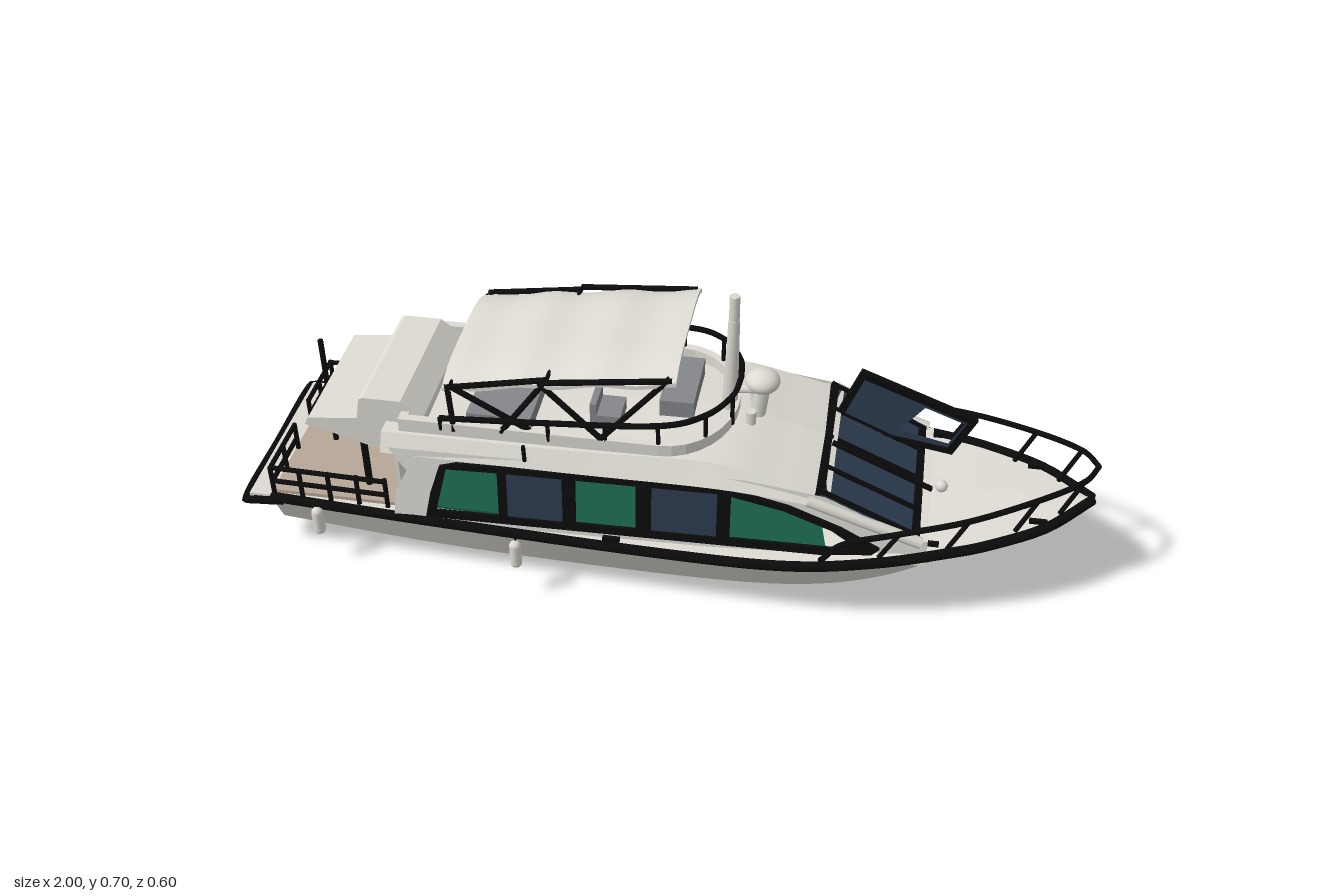
import * as THREE from 'three';

const mat = (name, color, side = THREE.DoubleSide) => {
  const m = new THREE.MeshStandardMaterial({ color, side });
  m.name = name;
  return m;
};

export function createModel() {
  const white = mat('gelcoatWhite', 0xdcdad2), black = mat('trimBlack', 0x0b0b0c);
  const navy = mat('glassNavy', 0x2c3b50, THREE.FrontSide), green = mat('bottomGreen', 0x175a46);
  const tan = mat('deckTan', 0xb8a798), grey = mat('seatGrey', 0x85868a);
  const model = new THREE.Group();
  model.name = 'motorYacht';

  // ---- helpers ----
  const V = (x, y, z) => new THREE.Vector3(x, y, z);
  const add = (name, geo, material, parent = model) => {
    const m = new THREE.Mesh(geo, material);
    m.name = name;
    parent.add(m);
    return m;
  };
  const both = (name, build) => {
    for (const s of [1, -1]) {
      const g = new THREE.Group();
      g.name = name + (s > 0 ? 'Left' : 'Right');
      g.scale.z = s;
      build(g);
      model.add(g);
    }
  };
  const box = (name, x0, x1, y0, y1, z0, z1, m, parent) =>
    add(name, new THREE.BoxGeometry(x1 - x0, y1 - y0, z1 - z0)
      .translate((x0 + x1) / 2, (y0 + y1) / 2, (z0 + z1) / 2), m, parent);
  const rod = (name, a, b, r, m, parent, r2 = r) => {
    const d = b.clone().sub(a);
    const mesh = add(name, new THREE.CylinderGeometry(r2, r, d.length(), 8), m, parent);
    mesh.position.copy(a).addScaledVector(d, 0.5);
    mesh.quaternion.setFromUnitVectors(V(0, 1, 0), d.normalize());
    return mesh;
  };
  const spline = pts => new THREE.CatmullRomCurve3(pts.map(p => V(...p)), false, 'catmullrom', 0.5);
  const pipe = (name, pts, r, m, parent) =>
    add(name, new THREE.TubeGeometry(spline(pts), 48, r, 6), m, parent);
  // surface stretched between two curves
  const ruled = (name, a, b, m, parent, n = 48) => {
    const pos = [], idx = [];
    for (let i = 0; i <= n; i++) {
      pos.push(...a.getPoint(i / n).toArray(), ...b.getPoint(i / n).toArray());
      if (i < n) idx.push(2 * i, 2 * i + 1, 2 * i + 2, 2 * i + 1, 2 * i + 3, 2 * i + 2);
    }
    const g = new THREE.BufferGeometry();
    g.setAttribute('position', new THREE.Float32BufferAttribute(pos, 3));
    g.setIndex(idx);
    g.computeVertexNormals();
    return add(name, g, m, parent);
  };
  const shape = (pts, holes = []) => {
    const s = new THREE.Shape(pts.map(p => new THREE.Vector2(...p)));
    s.holes = holes.map(h => new THREE.Path(h.map(p => new THREE.Vector2(...p))));
    return s;
  };
  const extrude = (s, depth) => new THREE.ExtrudeGeometry(s, { depth, bevelEnabled: false });

  // ---- hull: x, sheer width, sheer y, chine width, chine y, keel y ----
  const st = [[-.93, .225, .155, .18, .065, .05], [-.5, .25, .155, .205, .052, .035], [0, .27, .155, .212, .045, .012],
    [.3, .277, .165, .2, .045, 0], [.5, .257, .185, .16, .058, .01], [.67, .21, .2, .08, .08, .022],
    [.76, .175, .207, .004, .092, .088], [.88, .108, .216, .002, .158, .156], [.985, .004, .225, .002, .218, .216]];
  const sheer = spline(st.map(s => [s[0], s[2], s[1]]));
  const chine = spline(st.map(s => [s[0], s[4], s[3]]));
  const keel = spline(st.map(s => [s[0], s[5], 0]));
  const deckEdge = spline(st.map(s => [s[0], s[2] + .008, s[1]]));
  const deckMid = spline(st.map(s => [s[0], s[2] + .014, 0]));
  both('hull', g => {
    ruled('topside', sheer, chine, white, g);
    ruled('bottom', chine, keel, green, g);
    ruled('deck', deckMid, deckEdge, white, g);
    add('rubRail', new THREE.TubeGeometry(deckEdge, 64, .012, 8), black, g);
  });
  const transom = add('transom', new THREE.ShapeGeometry(shape(
    [[-.225, .16], [-.18, .065], [0, .05], [.18, .065], [.225, .16]])), white);
  transom.rotation.y = -Math.PI / 2;
  transom.position.x = -.93;
  box('swimPlatform', -.985, -.92, .148, .168, -.225, .225, white);
  pipe('platformRim', [[-.9, .16, -.232], [-.97, .155, -.232], [-.997, .152, -.215], [-.997, .152, 0],
    [-.997, .152, .215], [-.97, .155, .232], [-.9, .16, .232]], .01, black);
  box('rudder', -.9, -.84, .028, .09, -.008, .008, green);
  box('aftDeck', -.93, -.62, .165, .174, -.21, .21, tan);

  // ---- cabin sides ----
  const lean = (geo, off = 0) => {
    const p = geo.attributes.position;
    for (let i = 0; i < p.count; i++)
      p.setZ(i, p.getZ(i) + off + .235 - .08 * (p.getY(i) - .17) - .02 * p.getX(i));
    geo.computeVertexNormals();
    return geo;
  };
  const opening = [[-.54, .18], [-.525, .25], [-.5, .325], [-.46, .337], [.16, .337], [.3, .305], [.42, .258], [.51, .21], [.48, .18]];
  const outer = [[-.62, .16], [-.61, .24], [-.58, .3], [-.62, .36], [.2, .36], [.38, .335], [.6, .235], [.62, .17]];
  const panes = [
    [[-.515, .2], [-.485, .32], [-.365, .322], [-.365, .2]],
    [[-.345, .2], [-.345, .322], [-.215, .322], [-.215, .2]],
    [[-.185, .2], [-.185, .322], [-.045, .322], [-.045, .2]],
    [[-.01, .2], [-.01, .322], [.14, .322], [.14, .2]],
    [[.17, .2], [.17, .318], [.29, .292], [.4, .25], [.45, .215], [.43, .2]]];
  const port = [[-.46, .222], [-.46, .268], [-.38, .268], [-.38, .222]];
  both('cabinSide', g => {
    add('wall', lean(new THREE.ShapeGeometry(shape(outer, [opening]))), white, g);
    add('windowFrame', lean(extrude(shape(opening, panes), .008)), black, g);
    for (const i of [1, 3]) add('sidePane', lean(extrude(shape(panes[i]), .004)), navy, g);
    // inward-facing glass leaves the saloon visible from outside
    for (const i of [0, 2]) {
      const geo = lean(new THREE.ShapeGeometry(shape(panes[i], i ? [] : [port])));
      geo.setIndex([...geo.index.array].reverse());
      geo.computeVertexNormals();
      add('innerPane', geo, navy, g);
    }
    rod('windshieldPillar', V(.34, .322, .216), V(.6, .23, .214), .014, white, g);
  });
  box('saloonSole', -.6, .56, .176, .182, -.215, .215, green);
  box('aftBulkhead', -.615, -.605, .17, .35, -.215, .215, white);
  box('aftDoor', -.62, -.616, .18, .32, -.1, .1, navy);
  box('windshieldBase', .565, .615, .18, .232, -.21, .21, white);

  // ---- roof: x, eave y, eave width, shoulder y, shoulder width, centre y ----
  const rf = [[-.64, .342, .232, .385, .208, .39], [-.2, .342, .235, .388, .21, .394], [.12, .34, .232, .388, .2, .4],
    [.28, .325, .228, .354, .205, .368], [.39, .308, .222, .328, .205, .335]];
  const eave = spline(rf.map(r => [r[0], r[1], r[2]])), shoulder = spline(rf.map(r => [r[0], r[3], r[4]]));
  const crown = spline(rf.map(r => [r[0], r[5], 0])), ceiling = spline(rf.map(r => [r[0], r[1], 0]));
  both('roof', g => {
    ruled('roofSide', shoulder, eave, white, g);
    ruled('roofTop', crown, shoulder, white, g);
    ruled('ceiling', eave, ceiling, white, g);
  });

  // ---- windshield ----
  const shield = new THREE.Group();
  shield.name = 'windshield';
  shield.position.set(.475, .285, 0);
  shield.rotation.z = Math.atan2(-.1, .22);
  model.add(shield);
  box('glass', -.12, .12, -.003, .003, -.208, .208, navy, shield);
  for (const z of [-.2, -.11, 0, .11, .2]) box('mullion', -.122, .122, -.006, .009, z - .006, z + .006, black, shield);
  for (const x of [-.12, .12]) box('shieldEdge', x - .009, x + .009, -.006, .009, -.208, .208, black, shield);
  box('wiper', -.11, .15, .01, .018, .022, .034, black, shield);
  // upright glazed panel with an open corner
  const panel = [[.365, .29], [.43, .455], [.71, .345], [.66, .24]];
  const inner = [[.385, .298], [.438, .435], [.688, .337], [.648, .256]];
  const gap = [[.53, .295], [.585, .367], [.68, .33], [.648, .268]];
  add('panelFrame', extrude(shape(panel, [inner]), .018).translate(0, 0, -.12), black);
  add('panelGlass', extrude(shape(inner, [gap]), .005).translate(0, 0, -.113), navy);

  // ---- flybridge ----
  const ring = (w, x0, x1) => {
    const p = [[x0, -w]];
    for (let i = 0; i <= 16; i++) {
      const a = -Math.PI / 2 + Math.PI * i / 16;
      p.push([x1 + .16 * (w / .2) * Math.cos(a), w * Math.sin(a)]);
    }
    return [...p, [x0, w]];
  };
  add('coaming', extrude(shape(ring(.2, -.6, 0), [ring(.18, -.58, 0)]), .045)
    .rotateX(-Math.PI / 2).translate(0, .375, 0), white);
  const aft = [[-.84, .352], [-.83, .372], [-.71, .385], [-.7, .44], [-.69, .446], [-.6, .446], [-.55, .405], [-.54, .34], [-.6, .3], [-.68, .305], [-.76, .33]];
  add('aftOverhang', extrude(shape(aft), .34).translate(0, 0, -.17), white);
  box('helmConsole', -.02, .06, .39, .44, -.12, .06, grey);
  box('bench', -.45, -.3, .39, .425, -.16, .16, grey);
  for (const z of [-.08, .08]) {
    box('helmSeat', -.16, -.1, .39, .425, z - .04, z + .04, grey);
    box('helmSeatBack', -.17, -.155, .39, .455, z - .04, z + .04, grey);
  }

  // ---- flybridge rail ----
  const railPts = [[-.5, .435, .2], [-.25, .452, .2], [0, .472, .195], [.1, .48, .15], [.15, .482, .07], [.16, .483, 0]];
  both('flybridgeRail', g => {
    pipe('topRail', railPts, .007, black, g);
    for (const p of [...railPts.slice(0, 5), [-.12, .46, .198]]) rod('stanchion', V(p[0], .4, p[2] * .98), V(...p), .005, black, g);
  });

  // ---- canopy: bowed cloth with rising profile ----
  const cloth = new THREE.BoxGeometry(.53, .01, .38, 24, 1, 16), cp = cloth.attributes.position;
  for (let i = 0; i < cp.count; i++) {
    const x = cp.getX(i) - .225, u = (x + .49) / .53, w = Math.abs(cp.getZ(i)) / .19;
    cp.setXYZ(i, x, cp.getY(i) + .538 + .075 * Math.pow(u, .8) - .008 * Math.sin(u * Math.PI * 3) ** 2 - .028 * w ** 4, cp.getZ(i));
  }
  cloth.computeVertexNormals();
  add('canopy', cloth, white);
  both('canopyFrame', g => {
    const legs = [[-.47, .4, -.48, .52], [-.47, .525, -.28, .405], [-.36, .41, -.25, .56], [-.13, .42, .02, .59],
      [-.48, .52, -.25, .56], [-.25, .56, .03, .59], [-.13, .42, -.27, .55]];
    for (const [x0, y0, x1, y1] of legs) rod('canopyLeg', V(x0, y0, .195), V(x1, y1, .184), .007, black, g);
  });
  for (const [x, y] of [[-.47, .523], [-.25, .56], [.02, .59]]) rod('canopyBow', V(x, y, -.184), V(x, y, .184), .005, black);

  // ---- mast and radar ----
  rod('mast', V(.135, .38, 0), V(.14, .64, 0), .019, white, model, .013);
  rod('mastTop', V(.14, .62, 0), V(.14, .703, 0), .012, white);
  rod('radarArm', V(.14, .45, 0), V(.21, .455, 0), .01, white);
  rod('radarPost', V(.2, .375, 0), V(.21, .46, 0), .018, white);
  const radar = add('radarDome', new THREE.SphereGeometry(.04, 24, 14), white);
  radar.scale.y = .68;
  radar.position.set(.21, .48, 0);
  for (const z of [-.04, .04]) rod('horn', V(.19, .37, z), V(.19, .42, z), .012, white);
  const lamp = add('bowLamp', new THREE.SphereGeometry(.015, 12, 8), white);
  lamp.position.set(.64, .225, 0);

  // ---- bow and stern rails, fenders, cleats ----
  const bow = [[.38, .19, .265], [.43, .25, .268], [.55, .275, .243], [.7, .295, .198], [.85, .315, .125], [.95, .327, .058], [.985, .33, 0]];
  both('deckFittings', g => {
    pipe('bowRail', bow, .007, black, g);
    for (const [i, f] of [[2, .205], [3, .212], [4, .222], [5, .23]])
      rod('bowPost', V(bow[i][0] - .04, f, bow[i][2] * 1.02), V(...bow[i]), .006, black, g);
    for (const y of [.205, .245]) {
      rod('sternSideRail', V(-.925, y, .215), V(-.64, y, .222), .006, black, g);
      rod('sternRail', V(-.925, y, .215), V(-.925, y, .05), .006, black, g);
    }
    for (let i = 0; i < 5; i++) rod('sternPost', V(-.925 + i * .07, .165, .217), V(-.925 + i * .07, .248, .217), .006, black, g);
    for (const z of [.05, .13]) rod('sternPost', V(-.925, .165, z), V(-.925, .248, z), .006, black, g);
    rod('overhangPost', V(-.71, .17, .15), V(-.71, .32, .15), .009, black, g);
    rod('sideAerial', V(-.3, .36, .228), V(-.3, .405, .233), .005, black, g);
    for (const [x, z] of [[-.32, .288], [-.81, .25]]) {
      const f = add('fender', new THREE.CapsuleGeometry(.014, .05, 6, 12), white, g);
      f.position.set(x, .127, z);
      rod('fenderLine', V(x, .16, z), V(x, .175, z - .02), .003, black, g);
    }
    for (const [x, y, z] of [[.62, .215, .2], [.86, .228, .1], [-.1, .172, .255]]) box('cleat', x - .02, x + .02, y, y + .01, z - .005, z + .005, black, g);
  });
  rod('sternLightPole', V(-.845, .17, 0), V(-.845, .472, 0), .007, black);
  return model;
}
